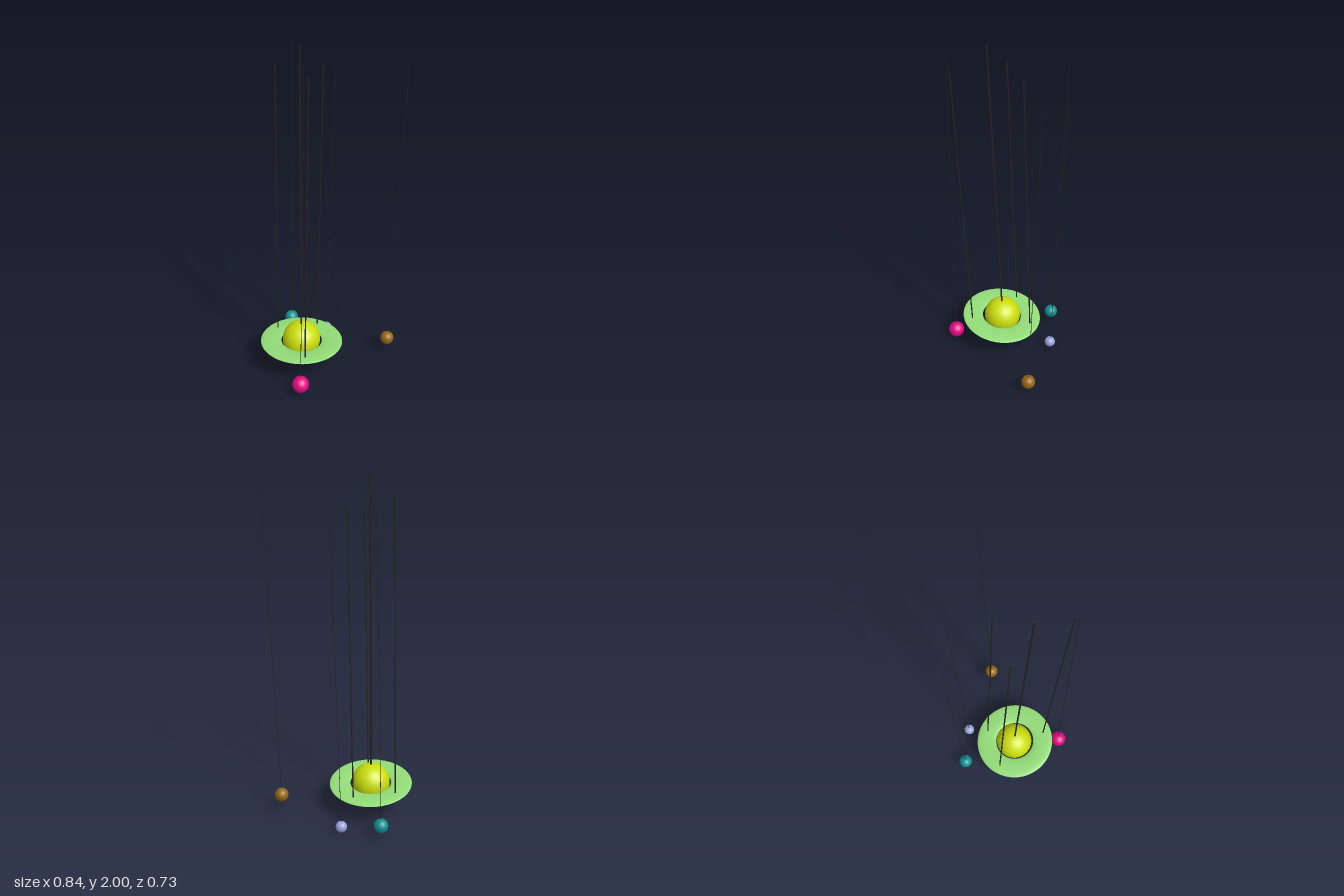
import * as THREE from 'three';

const material = (color) => new THREE.MeshStandardMaterial({ color });
const cordMaterial = material(0x262424);

function ball(name, position, radius, color) {
  const mesh = new THREE.Mesh(new THREE.SphereGeometry(radius, 40, 28), material(color));
  mesh.name = name;
  mesh.position.set(...position);
  return mesh;
}

// Straight cord from a lower point to an upper point
function cord(name, from, to, radius) {
  const a = new THREE.Vector3(...from);
  const b = new THREE.Vector3(...to);
  const direction = b.clone().sub(a);
  const mesh = new THREE.Mesh(new THREE.CylinderGeometry(radius, radius, direction.length(), 10), cordMaterial);
  mesh.name = name;
  mesh.position.copy(a).add(b).multiplyScalar(0.5);
  mesh.quaternion.setFromUnitVectors(new THREE.Vector3(0, 1, 0), direction.normalize());
  return mesh;
}

export function createModel() {
  const model = new THREE.Group();
  model.name = 'hangingPlanetMobile';

  // Large central planet and its rod
  model.add(ball('ringedPlanet', [-0.175, 0.173, 0.017], 0.114, 0xcbde0c));
  model.add(cord('planetRod', [-0.175, 0.25, 0.019], [-0.16, 2, 0.087], 0.005));

  // Flattened, slightly tilted ring around the planet
  const ringGeometry = new THREE.TorusGeometry(0.185, 0.063, 24, 64);
  ringGeometry.rotateX(Math.PI / 2);
  ringGeometry.scale(1, 0.15, 1);
  const ring = new THREE.Mesh(ringGeometry, material(0x92dc78));
  ring.name = 'planetRing';
  ring.position.set(-0.175, 0.166, 0.021);
  ring.quaternion.setFromUnitVectors(
    new THREE.Vector3(0, 1, 0),
    new THREE.Vector3(0.045, 1, -0.078).normalize()
  );
  model.add(ring);

  // Three rods holding the ring
  const ringRods = [
    [[-0.303, 0.16, -0.122], [-0.268, 1.87, -0.052]],
    [[-0.054, 0.15, -0.129], [-0.02, 1.86, -0.06]],
    [[-0.183, 0.18, 0.214], [-0.148, 1.9, 0.283]],
  ];
  ringRods.forEach(([from, to], i) => model.add(cord('ringRod' + (i + 1), from, to, 0.004)));

  // Small planets, each hung from a thin string
  const planets = [
    ['brownPlanet', [0.363, 0.106, 0.023], 0.041, 0x946610, [0.42, 1.91, -0.002]],
    ['pinkPlanet', [-0.226, 0.079, 0.314], 0.049, 0xe00a82, [-0.17, 1.97, 0.291]],
    ['tealPlanet', [-0.192, 0.085, -0.326], 0.041, 0x0e8f90, [-0.134, 1.9, -0.351]],
    ['lavenderPlanet', [0.025, 0.035, -0.24], 0.033, 0x98a2da, [0.083, 1.76, -0.268]],
  ];
  for (const [name, position, radius, color, top] of planets) {
    model.add(ball(name, position, radius, color));
    model.add(cord(name + 'String', position, top, 0.0016));
  }

  return model;
}
